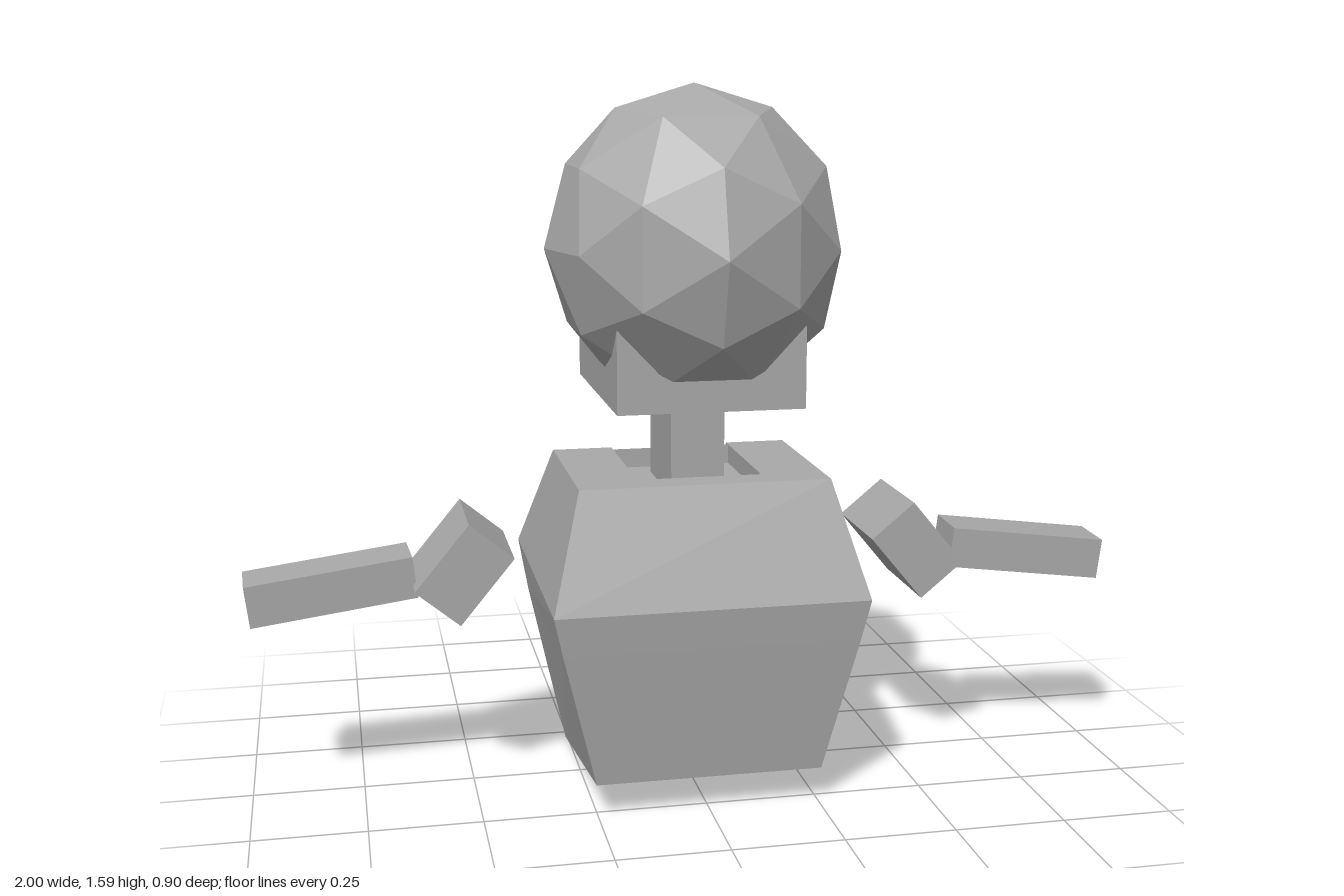
import * as THREE from 'three';

// Closed faceted solid through rings of [x, y, z] points, bottom to top.
function loft(rings) {
  const pos = [];
  const tri = (a, b, c) => pos.push(...a, ...b, ...c);
  const n = rings[0].length;
  for (let i = 0; i < rings.length - 1; i++) {
    for (let j = 0; j < n; j++) {
      const k = (j + 1) % n;
      const a = rings[i][j], b = rings[i][k], c = rings[i + 1][k], d = rings[i + 1][j];
      tri(a, b, c);
      tri(a, c, d);
    }
  }
  const bottom = rings[0], top = rings[rings.length - 1];
  for (let j = 1; j < n - 1; j++) {
    tri(bottom[0], bottom[j + 1], bottom[j]);
    tri(top[0], top[j], top[j + 1]);
  }
  const geo = new THREE.BufferGeometry();
  geo.setAttribute('position', new THREE.Float32BufferAttribute(pos, 3));
  geo.computeVertexNormals();
  return geo;
}

export function createModel() {
  const model = new THREE.Group();
  model.name = 'figure';
  const grey = new THREE.MeshStandardMaterial({ color: 0xa8a8a8, flatShading: true });
  grey.name = 'grey';

  const add = (name, geo, p = [0, 0, 0], r = [0, 0, 0], parent = model) => {
    const mesh = new THREE.Mesh(geo, grey);
    mesh.name = name;
    mesh.position.set(...p);
    mesh.rotation.set(...r);
    parent.add(mesh);
    return mesh;
  };
  const box = (name, size, p, r, parent) => add(name, new THREE.BoxGeometry(...size), p, r, parent);

  // Jacket: barrel shape with a recessed shirt strip down the face side (-z)
  const slot = 0.14;
  const ring = (w, yb, zb, yf, zf, depth = 0.025) => [
    [-w, yb, zb], [w, yb, zb], [w, yf, zf],
    [slot, yf, zf], [slot, yf, zf + depth], [-slot, yf, zf + depth], [-slot, yf, zf],
    [-w, yf, zf],
  ];
  add('jacket', loft([
    ring(slot, 0.085, 0.23, 0.03, -0.195, 0),
    ring(slot, 0.071, 0.23, 0.004, -0.195, 0),
    ring(0.255, 0.08, 0.29, 0, -0.22),
    ring(0.33, 0.39, 0.33, 0.36, -0.315),
    ring(0.35, 0.48, 0.34, 0.48, -0.335),
    ring(0.28, 0.735, 0.245, 0.735, -0.18),
    ring(slot, 0.735, 0.17, 0.735, -0.155, 0),
    ring(slot, 0.69, 0.17, 0.69, -0.155, 0),
  ]));
  box('badge', [0.07, 0.07, 0.008], [-0.245, 0.635, -0.245], [0.545, 0, 0]);

  // Arms: angled upper block and slim forearm, mirrored
  for (const s of [-1, 1]) {
    const arm = new THREE.Group();
    arm.name = s > 0 ? 'leftArm' : 'rightArm';
    model.add(arm);
    box('upperArm', [0.19, 0.128, 0.25], [s * 0.52, 0.531, 0.02], [0, 0, -s * 0.88], arm);
    box('forearm', [0.368, 0.094, 0.133], [s * 0.81, 0.495, 0.028], [0, -s * 0.05, -s * 0.118], arm);
  }

  // Neck and head
  box('neck', [0.12, 0.25, 0.25], [0, 0.8, 0.025]);
  const head = new THREE.Group();
  head.name = 'head';
  model.add(head);
  const part = (name, size, p, r) => box(name, size, p, r, head);
  part('skull', [0.41, 0.29, 0.42], [0, 1.05, 0.09]);
  part('face', [0.33, 0.325, 0.13], [0, 1.048, -0.15]);
  for (const s of [-1, 1]) {
    part('sideburn', [0.04, 0.295, 0.13], [s * 0.185, 1.053, -0.175]);
  }

  // Large faceted hair ball
  const hair = add('hair', new THREE.IcosahedronGeometry(1, 1), [0, 1.24, 0.105], [0, 0, 0], head);
  hair.scale.set(0.33, 0.35, 0.35);

  // Cap front panel, bowed outwards
  const capRows = [
    // half width, y, edge z, centre z
    [0.2, 1.19, -0.235, -0.275],
    [0.2, 1.26, -0.225, -0.275],
    [0.185, 1.36, -0.185, -0.24],
    [0.17, 1.42, -0.155, -0.2],
    [0.15, 1.46, -0.13, -0.15],
  ];
  add('capFront', loft(capRows.map(([w, y, e, c]) => [
    [-w, y, 0], [w, y, 0], [w, y, e],
    [w / 2, y, e * 0.25 + c * 0.75], [0, y, c], [-w / 2, y, e * 0.25 + c * 0.75],
    [-w, y, e],
  ])), [0, 0, 0], [0, 0, 0], head);

  // Pointed brim, folded along its middle
  const brim = (t) => [
    [0, 1.2 + t, -0.2], [0.19, 1.175 + t, -0.2], [0.195, 1.165 + t, -0.37],
    [0, 1.19 + t, -0.45], [-0.195, 1.165 + t, -0.37], [-0.19, 1.175 + t, -0.2],
  ];
  add('brim', loft([brim(0), brim(0.022)]), [0, 0, 0], [0, 0, 0], head);

  // Face details
  for (const s of [-1, 1]) {
    part('eyebrow', [0.09, 0.02, 0.03], [s * 0.075, 1.155, -0.222], [0, 0, s * 0.3]);
    part('eye', [0.06, 0.025, 0.015], [s * 0.075, 1.12, -0.218]);
  }
  const nose = (w, y, z) => [[-w, y, -0.2], [w, y, -0.2], [w * 0.7, y, z], [-w * 0.7, y, z]];
  add('nose', loft([nose(0.032, 1.055, -0.27), nose(0.016, 1.15, -0.225)]), [0, 0, 0], [0, 0, 0], head);

  // Goatee: chamfered ring around the mouth
  const outline = (Type, w, h, c) => {
    const pts = [[w - c, h], [-w + c, h], [-w, h - c], [-w, -h + c], [-w + c, -h], [w - c, -h], [w, -h + c], [w, h - c]];
    return new Type(pts.map(([x, y]) => new THREE.Vector2(x, y)));
  };
  const goatee = outline(THREE.Shape, 0.088, 0.065, 0.035);
  goatee.holes.push(outline(THREE.Path, 0.055, 0.026, 0.015));
  add('goatee', new THREE.ExtrudeGeometry(goatee, { depth: 0.055, bevelEnabled: false }),
    [0, 0.985, -0.265], [0, 0, 0], head);
  part('mouth', [0.08, 0.022, 0.03], [0, 0.985, -0.222]);

  return model;
}
